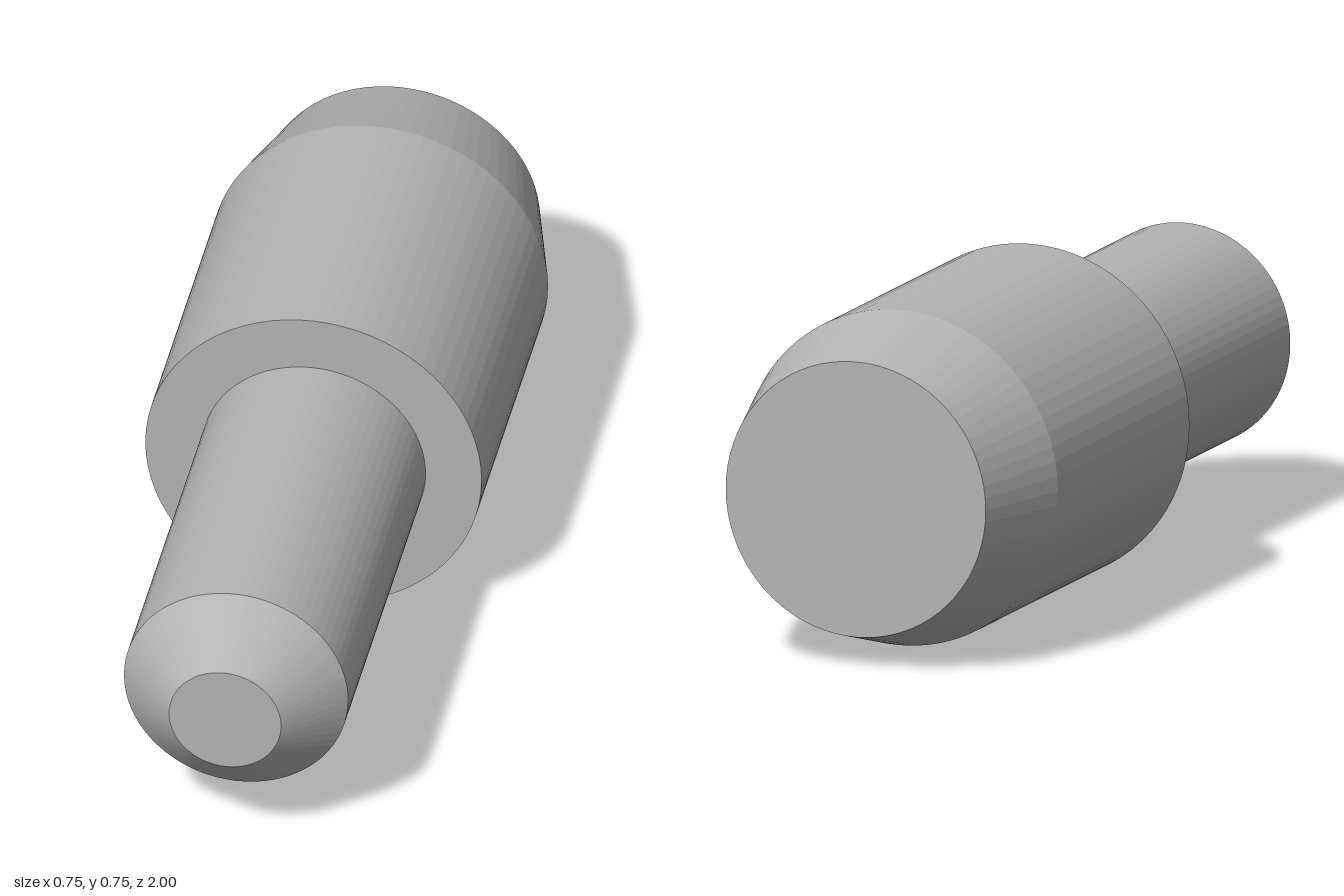
import * as THREE from 'three';

const SIDES = 72;
const AXIS_HEIGHT = 0.375;

// Turned part: profile of [radius, z] pairs listed from back to front
function turned(name, profile, material) {
  const points = profile.map(([r, z]) => new THREE.Vector2(r, z));
  const geometry = new THREE.LatheGeometry(points, SIDES);
  geometry.rotateX(Math.PI / 2);
  geometry.translate(0, AXIS_HEIGHT, 0);
  const mesh = new THREE.Mesh(geometry, material);
  mesh.name = name;
  return mesh;
}

export function createModel() {
  const group = new THREE.Group();
  group.name = 'steppedPin';
  const grey = new THREE.MeshStandardMaterial({ color: 0xb4b4b4 });
  grey.name = 'plain grey';
  grey.flatShading = true;

  // Wide body with a shallow 15 degree taper at the back and a flat shoulder in front
  group.add(turned('body', [[0, -1], [0.308, -1], [0.375, -0.75], [0.375, 0], [0.25, 0]], grey));

  // Narrow shank with a 45 degree chamfered tip
  group.add(turned('shank', [[0.25, 0], [0.25, 0.875], [0.125, 1], [0, 1]], grey));

  return group;
}
